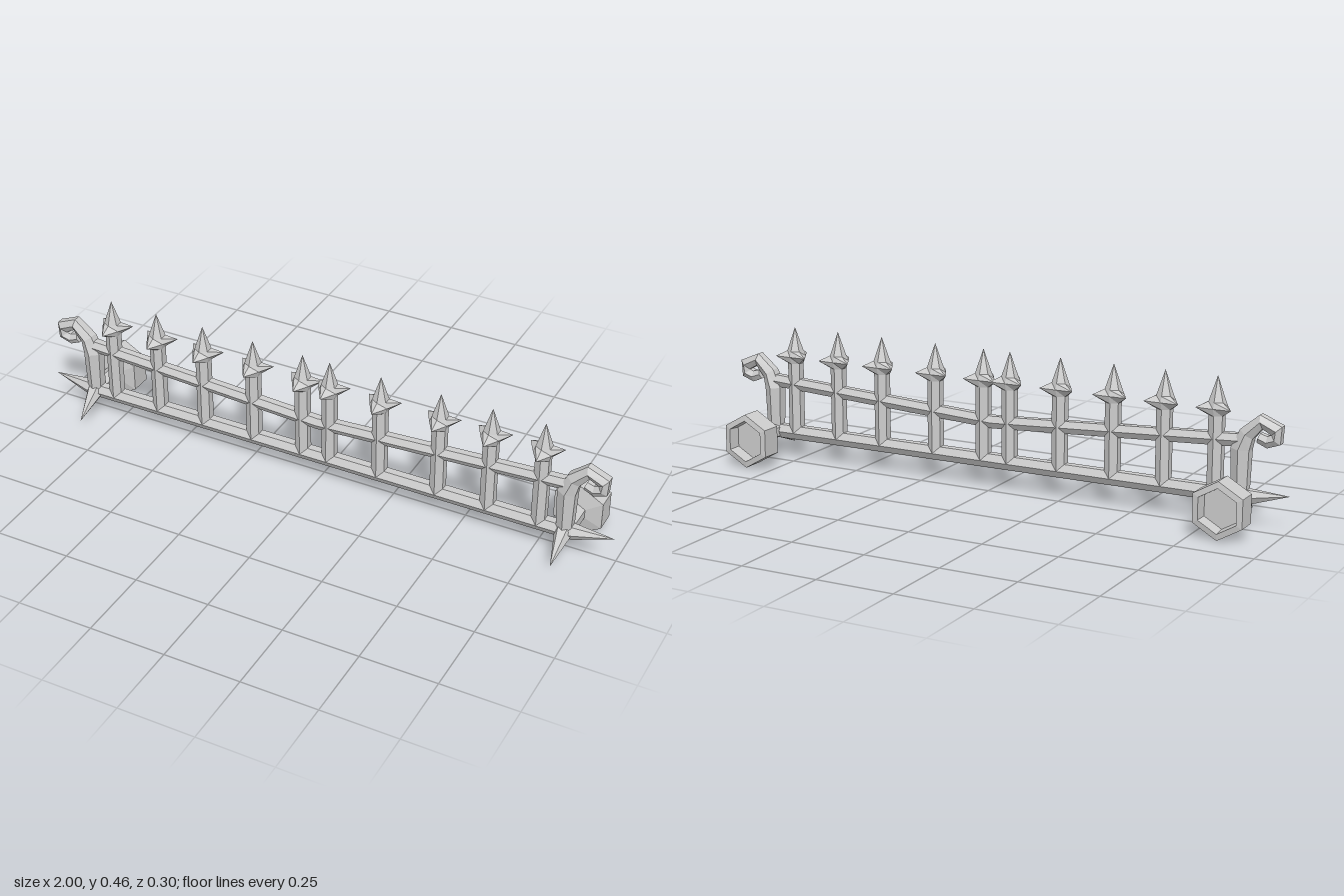
import * as THREE from 'three';

const Z = 0.038;        // depth of the fence plane
const BASE_Y = 0.092;   // height of the lower rail
const V = (x, y, z = Z) => new THREE.Vector3(x, y, z);

// Hexagonal bar swept along points with a radius at each; side is a fixed cross direction.
function sweep(points, radii, side) {
  const pos = [], index = [], n = 6;
  points.forEach((p, i) => {
    const a = points[Math.max(i - 1, 0)], b = points[Math.min(i + 1, points.length - 1)];
    const t = b.clone().sub(a).normalize();
    const up = t.clone().cross(side).normalize();
    for (let k = 0; k < n; k++) {
      const w = (k / n) * Math.PI * 2;
      const q = p.clone()
        .addScaledVector(side, Math.cos(w) * radii[i])
        .addScaledVector(up, Math.sin(w) * radii[i]);
      pos.push(q.x, q.y, q.z);
    }
  });
  for (let i = 0; i < points.length - 1; i++) {
    for (let k = 0; k < n; k++) {
      const a = i * n + k, b = i * n + (k + 1) % n;
      index.push(a, a + n, b, b, a + n, b + n);
    }
  }
  // end caps
  const last = (points.length - 1) * n;
  for (let k = 1; k < n - 1; k++) {
    index.push(0, k, k + 1, last, last + k + 1, last + k);
  }
  const g = new THREE.BufferGeometry();
  g.setAttribute('position', new THREE.Float32BufferAttribute(pos, 3));
  g.setIndex(index);
  g.computeVertexNormals();
  return g;
}

const hexLathe = (profile) =>
  new THREE.LatheGeometry(profile.map(([r, y]) => new THREE.Vector2(r, y)), 6);

// Spearhead with three long barbs and three short corners.
function spearheadGeometry() {
  const profile = [[0.026, 0.333], [0.066, 0.357], [0.027, 0.375], [0, 0.455]];
  const g = hexLathe(profile), p = g.attributes.position;
  for (let i = 0; i < p.count; i++) {
    const segment = Math.floor(i / profile.length), ring = i % profile.length;
    if (ring === 1 && segment % 2 === 1) {
      p.setX(i, p.getX(i) * 0.52);
      p.setZ(i, p.getZ(i) * 0.52);
    }
  }
  g.computeVertexNormals();
  return g;
}

export function createModel() {
  const model = new THREE.Group();
  const material = new THREE.MeshStandardMaterial({
    color: 0xcccccc, flatShading: true, side: THREE.DoubleSide,
  });
  const add = (parent, name, geometry) => {
    const mesh = new THREE.Mesh(geometry, material);
    mesh.name = name;
    parent.add(mesh);
    return mesh;
  };
  const alongX = new THREE.Vector3(1, 0, 0), alongZ = new THREE.Vector3(0, 0, 1);

  // Rails: a straight lower one and an upper one dipping in the middle
  add(model, 'lowerRail', sweep([V(-0.84, BASE_Y), V(0.84, BASE_Y)], [0.026, 0.026], alongZ));
  add(model, 'upperRail', sweep(
    [V(-0.84, 0.266), V(0, 0.22), V(0.84, 0.266)], [0.023, 0.023, 0.023], alongZ));

  // Pickets with spearheads
  const shaft = hexLathe([[0.026, BASE_Y], [0.026, 0.336]]);
  const head = spearheadGeometry();
  for (const x of [-0.76, -0.59, -0.418, -0.235, -0.057, 0.038, 0.215, 0.417, 0.587, 0.757]) {
    const picket = new THREE.Group();
    picket.name = 'picket';
    picket.position.set(x, 0, Z);
    add(picket, 'shaft', shaft);
    add(picket, 'spearhead', head);
    model.add(picket);
  }

  // Each end: curled post, two spikes and a hollow wall mount
  for (const s of [1, -1]) {
    const end = new THREE.Group();
    end.name = s > 0 ? 'leftEnd' : 'rightEnd';
    const path = [[0.842, 0.085], [0.842, 0.24], [0.86, 0.288], [0.905, 0.331],
      [0.955, 0.308], [0.951, 0.28], [0.925, 0.27], [0.897, 0.28]];
    add(end, 'curledPost', sweep(path.map(([x, y]) => V(s * x, y)),
      [0.028, 0.034, 0.028, 0.025, 0.025, 0.024, 0.021, 0.018], alongZ));
    add(end, 'sideSpike', sweep(
      [V(s * 0.84, BASE_Y), V(s * 0.87, 0.093), V(s, 0.11)], [0.026, 0.026, 0], alongZ));
    add(end, 'frontSpike', sweep(
      [V(s * 0.842, 0.095, 0.035), V(s * 0.842, 0.087, 0.053), V(s * 0.842, 0.025, 0.148)],
      [0.028, 0.028, 0], alongX));
    const mount = add(end, 'wallMount', hexLathe([
      [0.03, -0.04], [0.03, 0.062], [0.091, 0.073], [0.091, 0.145],
      [0.07, 0.148], [0.066, 0.105], [0, 0.105]]));
    mount.rotation.x = -Math.PI / 2;
    mount.position.set(s * 0.842, 0.091, 0);
    model.add(end);
  }
  return model;
}
